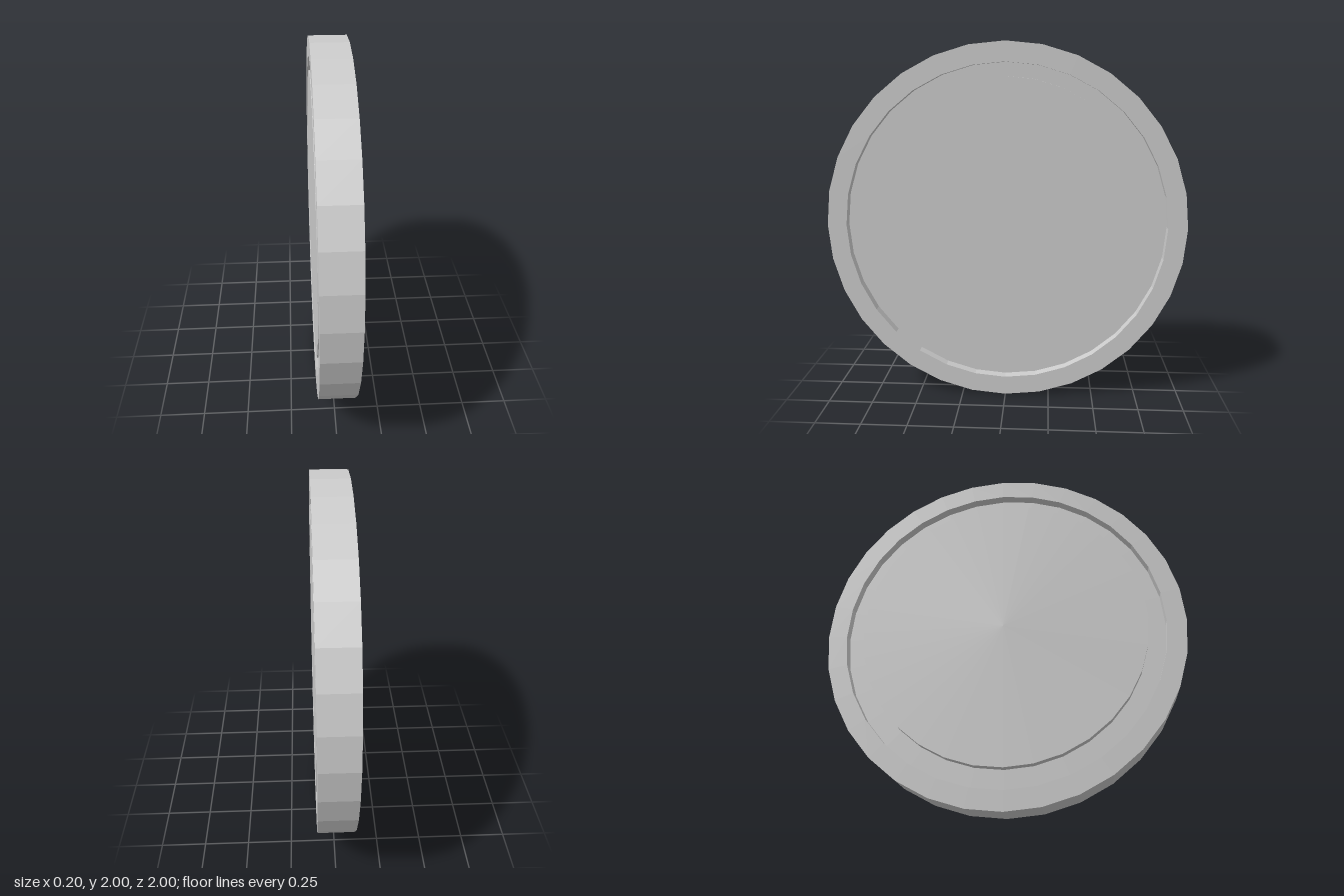
import * as THREE from 'three';

const SIDES = 32;
const HALF = 0.1;       // half thickness
const FLOOR = 0.045;    // half thickness at the groove floor
const RIM_INNER = 0.893;

export function createModel() {
  const group = new THREE.Group();
  const material = new THREE.MeshStandardMaterial({ color: 0xcccccc, flatShading: true });

  const add = (name, geometry, x, y) => {
    const mesh = new THREE.Mesh(geometry.rotateZ(-Math.PI / 2), material);
    mesh.name = name;
    mesh.position.set(x, y, 0);
    group.add(mesh);
  };

  // Coin body: raised rim around a recessed floor on both faces
  const profile = [
    [0, -FLOOR], [RIM_INNER, -FLOOR], [RIM_INNER, -HALF], [1, -HALF],
    [1, HALF], [RIM_INNER, HALF], [RIM_INNER, FLOOR], [0, FLOOR],
  ].map(([r, h]) => new THREE.Vector2(r, h));
  add('coinBody', new THREE.LatheGeometry(profile, SIDES), 0, 1);

  // Raised centre discs, one per face, set slightly above centre
  const depth = HALF - FLOOR;
  for (const side of [1, -1]) {
    add(side > 0 ? 'leftCentreDisc' : 'rightCentreDisc',
      new THREE.CylinderGeometry(0.798, 0.798, depth, SIDES),
      side * (FLOOR + depth / 2), 1.02);
  }
  return group;
}
